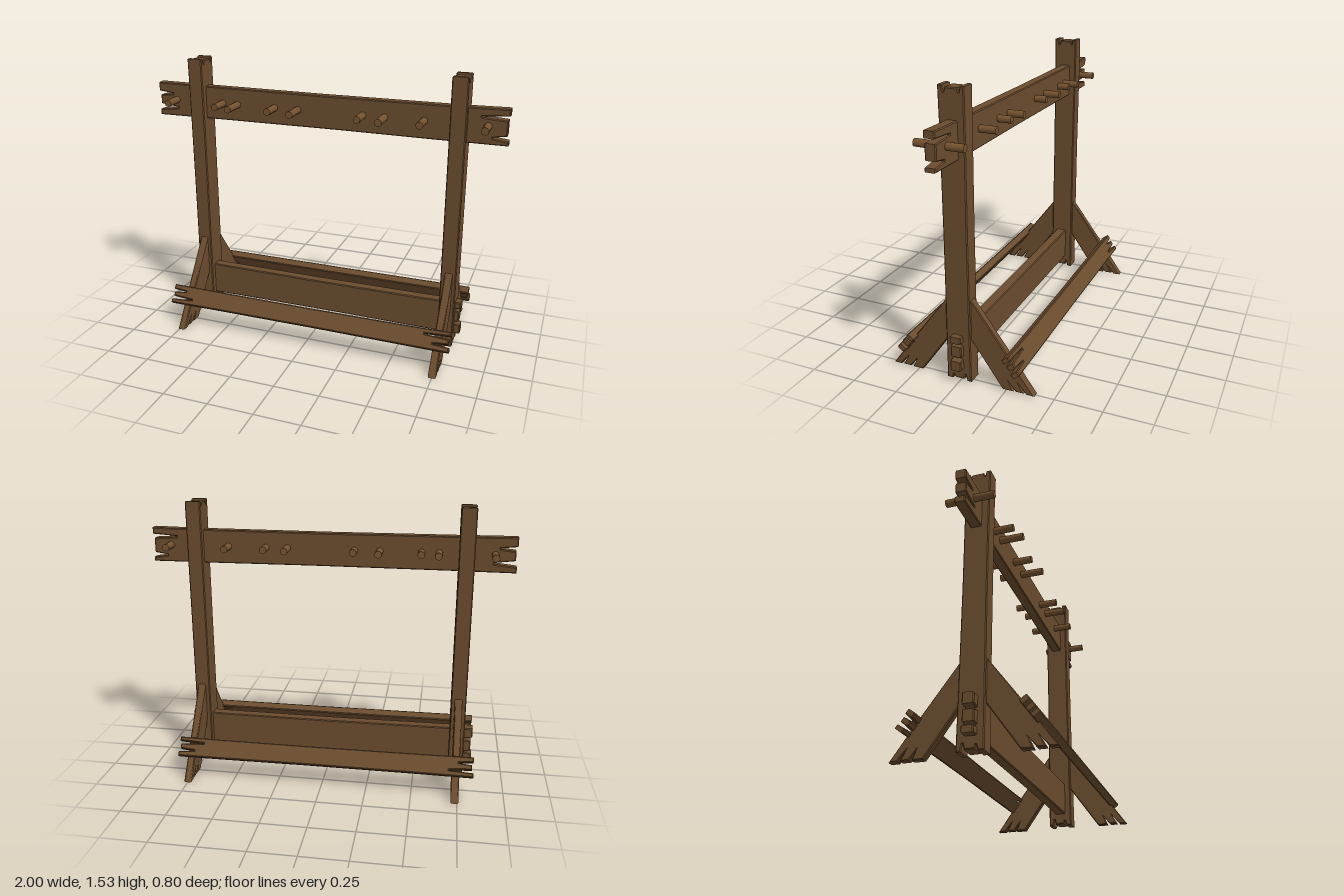
import * as THREE from 'three';

const wood = new THREE.MeshStandardMaterial({ color: 0x6b4c2e, roughness: 0.9, flatShading: true });
const pegWood = new THREE.MeshStandardMaterial({ color: 0x75522f, roughness: 0.9 });
const BEVEL = 0.005;

// Bevelled board from a 2D outline, centred on its thickness
function extrude(points, thickness) {
  const shape = new THREE.Shape(points.map(([x, y]) => new THREE.Vector2(x, y)));
  const geo = new THREE.ExtrudeGeometry(shape, {
    depth: thickness - 2 * BEVEL, bevelEnabled: true, bevelThickness: BEVEL,
    bevelSize: BEVEL, bevelOffset: -BEVEL, bevelSegments: 1,
  });
  return geo.translate(0, 0, -thickness / 2 + BEVEL);
}

// Rough plank along x. Each split is [position across, depth, half width];
// the tongues between splits end at slightly different lengths.
function plank(length, width, thickness, leftSplits, rightSplits, sag = 0.004) {
  const h = width / 2;
  const l = length / 2;
  const end = (splits, side) => {
    const pts = [];
    let stagger = 0;
    pts.push([side * l, -h * 0.98]);
    for (const [p, depth, half] of splits) {
      pts.push([side * (l - stagger), p - half]);
      pts.push([side * (l - depth), p - half * 0.2]);
      pts.push([side * (l - depth), p + half * 0.2]);
      stagger = 0.008 - stagger;
      pts.push([side * (l - stagger), p + half]);
    }
    pts.push([side * (l - stagger), h]);
    return pts;
  };
  const outline = [
    ...end(rightSplits, 1),
    [l * 0.75, h - sag], [0, h - sag * 1.4], [-l * 0.7, h - sag * 0.6],
    ...end(leftSplits, -1).reverse(),
    [-l * 0.65, -h + sag], [l * 0.1, -h + sag * 1.3], [l * 0.7, -h + sag * 0.5],
  ];
  return extrude(outline, thickness);
}

export function createModel() {
  const group = new THREE.Group();
  const add = (name, geo, x, y, z, material = wood) => {
    const mesh = new THREE.Mesh(geo, material);
    mesh.name = name;
    mesh.position.set(x, y, z);
    group.add(mesh);
    return mesh;
  };

  // Upright posts, split at both ends
  const postGeo = plank(1.52, 0.137, 0.085,
    [[-0.035, 0.035, 0.008], [0.03, 0.025, 0.007]],
    [[-0.04, 0.025, 0.006], [0.038, 0.03, 0.007]], 0.003);
  postGeo.rotateZ(Math.PI / 2).rotateY(Math.PI / 2);
  add('rightPost', postGeo, -0.738, 0.768, 0.002);
  add('leftPost', postGeo, 0.748, 0.768, 0.002);

  // Top board carrying the pegs
  add('topBoard', plank(2, 0.192, 0.058,
    [[-0.045, 0.12, 0.017], [0.035, 0.09, 0.012]],
    [[-0.058, 0.08, 0.014], [0.048, 0.14, 0.012]]), 0, 1.278, 0);

  // Lower board between the posts
  add('lowerBoard', plank(1.65, 0.195, 0.06,
    [[-0.05, 0.05, 0.01], [0.03, 0.06, 0.012]],
    [[-0.03, 0.06, 0.012], [0.05, 0.05, 0.01]]), -0.002, 0.172, 0.005);

  // Pegs through the top board: [x, centre z]
  const pegGeo = new THREE.CylinderGeometry(0.02, 0.02, 0.255, 12).rotateX(Math.PI / 2);
  const pegs = [[-0.885, 0.007], [-0.592, 0.007], [-0.5, 0.031], [-0.275, 0.007], [-0.137, 0.03],
    [0.233, 0.007], [0.353, 0.025], [0.565, 0.007], [0.894, 0.007]];
  for (const [x, z] of pegs) add('peg', pegGeo, x, 1.28, z, pegWood);

  // Slanted braces with splintered feet, outline in the side plane
  const braceGeo = extrude([
    [0.05, 0.255], [0.23, 0], [0.287, 0], [0.262, 0.055], [0.302, 0.002],
    [0.345, 0.002], [0.312, 0.06], [0.36, 0], [0.402, 0], [0.25, 0.212], [0.05, 0.48],
  ], 0.042).rotateY(-Math.PI / 2);
  for (const x of [-0.737, 0.75]) {
    add('frontBrace', braceGeo, x, 0, 0);
    add('backBrace', braceGeo, x, 0, 0).rotation.y = Math.PI;
  }

  // Long rails lying along the outer edges of the braces
  const slope = Math.atan2(0.45, 0.33);
  const railGeo = plank(1.65, 0.11, 0.046,
    [[-0.022, 0.13, 0.009], [0.02, 0.08, 0.008]],
    [[-0.02, 0.09, 0.008], [0.024, 0.14, 0.009]], 0.003);
  for (const side of [1, -1]) {
    const rail = add(side > 0 ? 'frontRail' : 'backRail', railGeo, -0.006, 0.165, side * 0.295);
    rail.rotation.x = -side * (Math.PI / 2 - slope);
  }
  return group;
}
